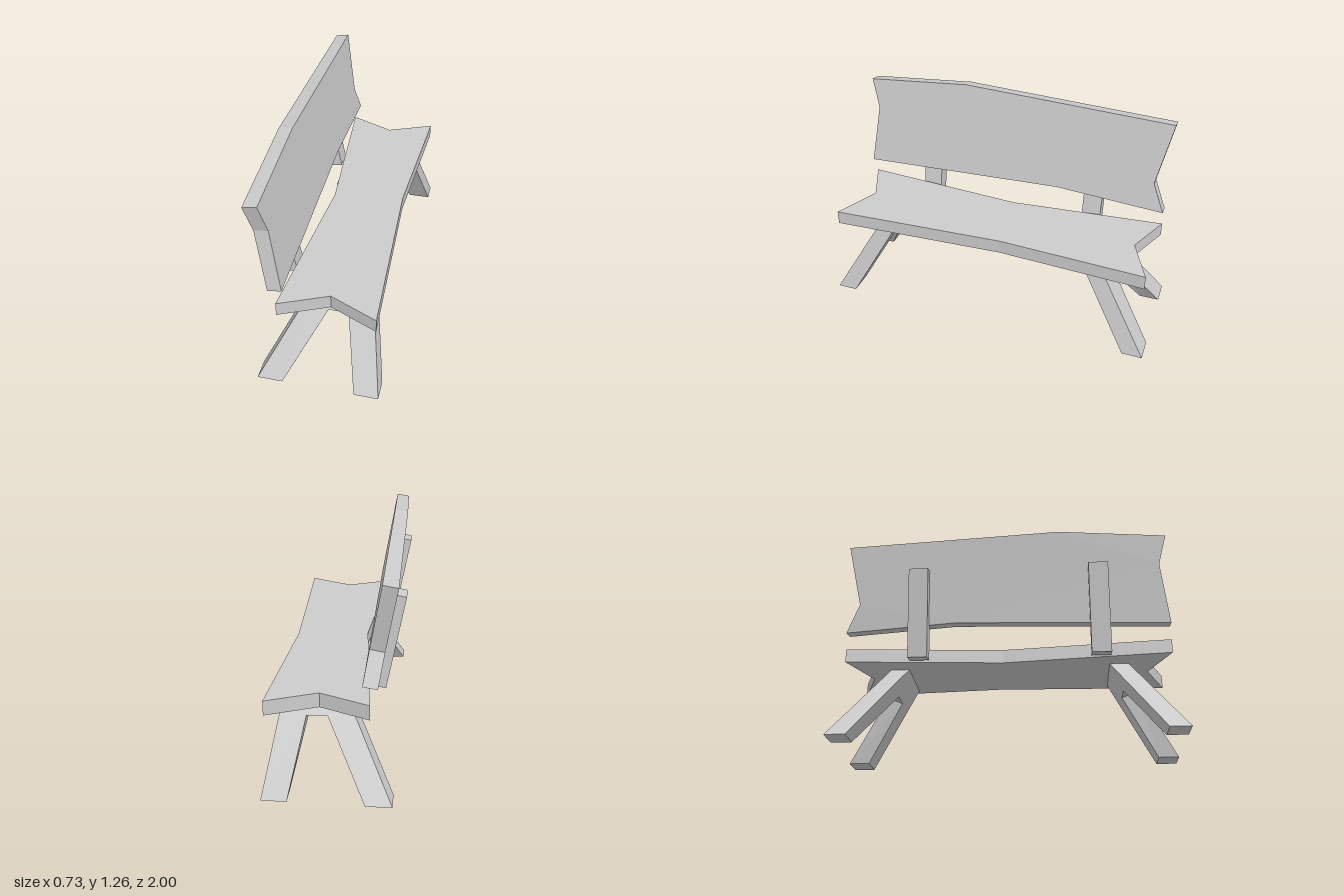
import * as THREE from 'three';

const material = new THREE.MeshStandardMaterial({ color: 0xcccccc, flatShading: true });

function slab(points, depth) {
  const shape = new THREE.Shape(points.map(([x, y]) => new THREE.Vector2(x, y)));
  return new THREE.ExtrudeGeometry(shape, { depth, bevelEnabled: false });
}

function addPart(group, name, geometry) {
  const mesh = new THREE.Mesh(geometry, material);
  mesh.name = name;
  group.add(mesh);
  return mesh;
}

// Forked leg pair, splayed outward; side is +1 or -1 along z
function legPair(side) {
  const geometry = slab([
    [-0.335, 0], [-0.19, 0], [0.03, 0.395], [0.145, 0.395],
    [0.225, 0], [0.365, 0], [0.275, 0.49], [-0.07, 0.49],
  ], 1);
  const p = geometry.attributes.position;
  for (let i = 0; i < p.count; i++) {
    const outer = (p.getZ(i) > 0.5) === (side > 0);
    let y = p.getY(i);
    // the crotch of the fork is cut square to the sloping face
    if (!outer && Math.abs(y - 0.395) < 0.001) y = 0.355;
    p.setY(i, y);
    p.setZ(i, side * (outer ? 1 - 0.59 * y : 0.88 - 0.57 * y));
  }
  geometry.computeVertexNormals();
  return geometry;
}

export function createModel() {
  const bench = new THREE.Group();
  bench.name = 'bench';

  // Seat plank with notched ends and waisted sides, outlined in (x, -z)
  const seat = slab([
    [-0.208, -0.955], [0.063, -0.835], [0.336, -0.955], [0.29, 0.09],
    [0.338, 0.96], [0.063, 0.843], [-0.208, 0.957], [-0.13, 0.03],
  ], 0.083);
  seat.rotateX(-Math.PI / 2);
  seat.translate(0, 0.49, 0);
  addPart(bench, 'seat', seat);

  // Backrest board, outlined in (-z, height along the slope)
  const back = slab([
    [-0.957, 0], [-0.3 + 0.6, 0.042], [0.955, 0], [0.88, 0.175],
    [0.955, 0.545], [-0.32, 0.597], [-0.957, 0.545], [-0.91, 0.365],
  ], 0.08);
  back.translate(0, 0, -0.08);
  back.rotateY(Math.PI / 2);
  const backrest = addPart(bench, 'backrest', back);
  backrest.position.set(-0.167, 0.675, 0);
  backrest.rotation.z = 0.168;

  // Leaning posts, pivoted at their lower rear edge
  for (const [name, z] of [['leftPost', 0.548], ['rightPost', -0.518]]) {
    const geometry = new THREE.BoxGeometry(0.082, 0.544, 0.115);
    geometry.translate(0.041, 0.272, 0);
    const post = addPart(bench, name, geometry);
    post.position.set(-0.27, 0.48, z);
    post.rotation.z = 0.184;
  }

  addPart(bench, 'frontLegs', legPair(1));
  addPart(bench, 'rearLegs', legPair(-1));
  return bench;
}
